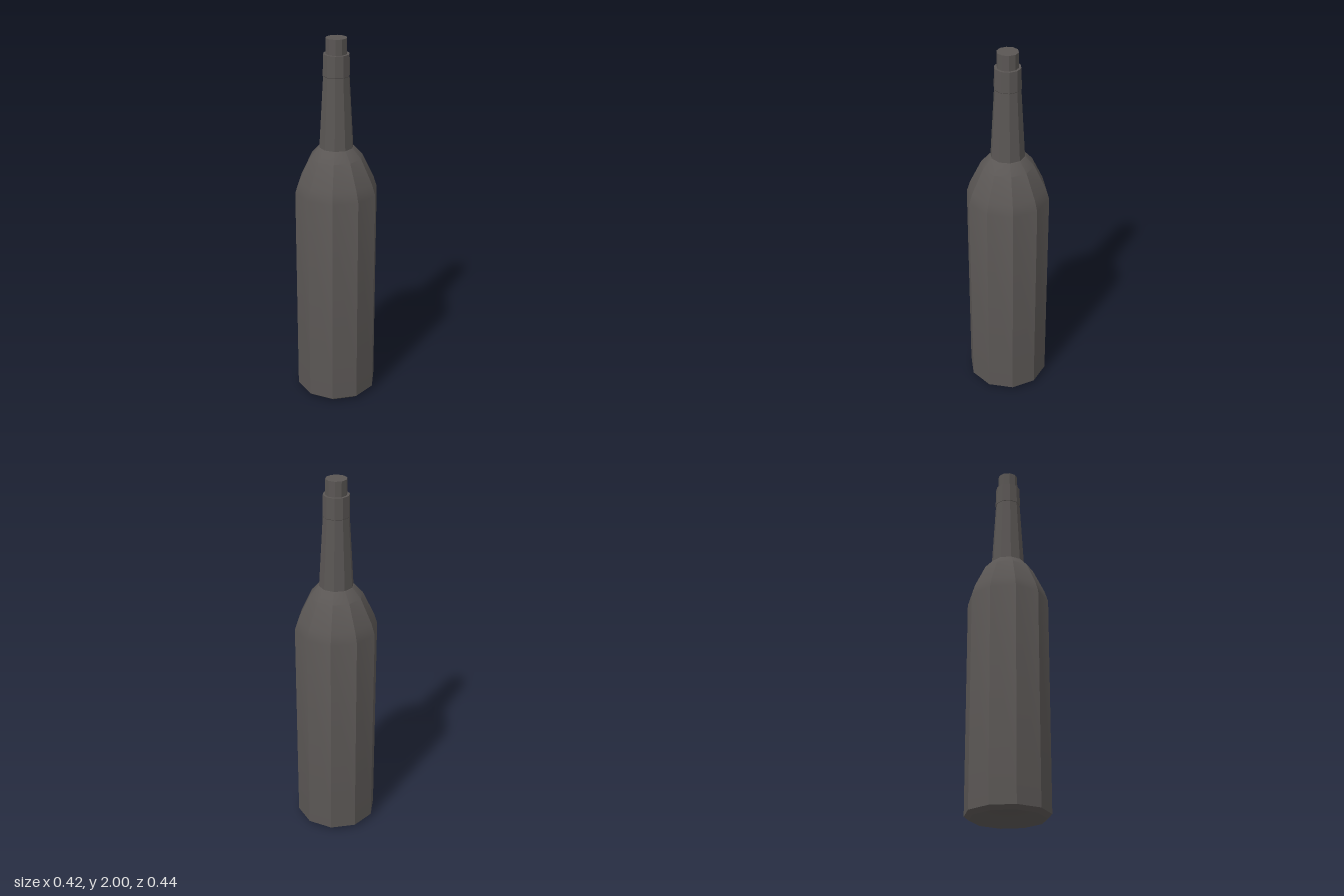
import * as THREE from 'three';
import { toCreasedNormals } from 'three/addons/utils/BufferGeometryUtils.js';

const SIDES = 10;

// Ten-sided turned part, profile given as [radius, height] from bottom to top
function turned(name, profile, material) {
  const points = profile.map(([r, y]) => new THREE.Vector2(r, y));
  const geometry = toCreasedNormals(new THREE.LatheGeometry(points, SIDES), 0.5);
  const mesh = new THREE.Mesh(geometry, material);
  mesh.name = name;
  return mesh;
}

export function createModel() {
  const group = new THREE.Group();
  group.name = 'bottle';
  const glass = new THREE.MeshStandardMaterial({ color: 0x5a5654 });

  // Body with a hollow punt underneath, bevelled foot and rounded shoulder
  group.add(turned('body', [
    [0, 0.055], [0.083, 0.055], [0.195, 0],
    [0.22, 0.02], [0.22, 1.19], [0.201, 1.25],
    [0.139, 1.38], [0.094, 1.43], [0.085, 1.435],
  ], glass));

  // Tapering neck
  group.add(turned('neck', [[0.09, 1.43], [0.068, 1.81]], glass));

  // Slightly raised straight collar around the mouth
  group.add(turned('collar', [
    [0.067, 1.805], [0.07, 1.81], [0.068, 1.92], [0.05, 1.92],
  ], glass));

  // Stopper
  group.add(turned('stopper', [[0.055, 1.91], [0.055, 2], [0, 2]], glass));

  return group;
}
